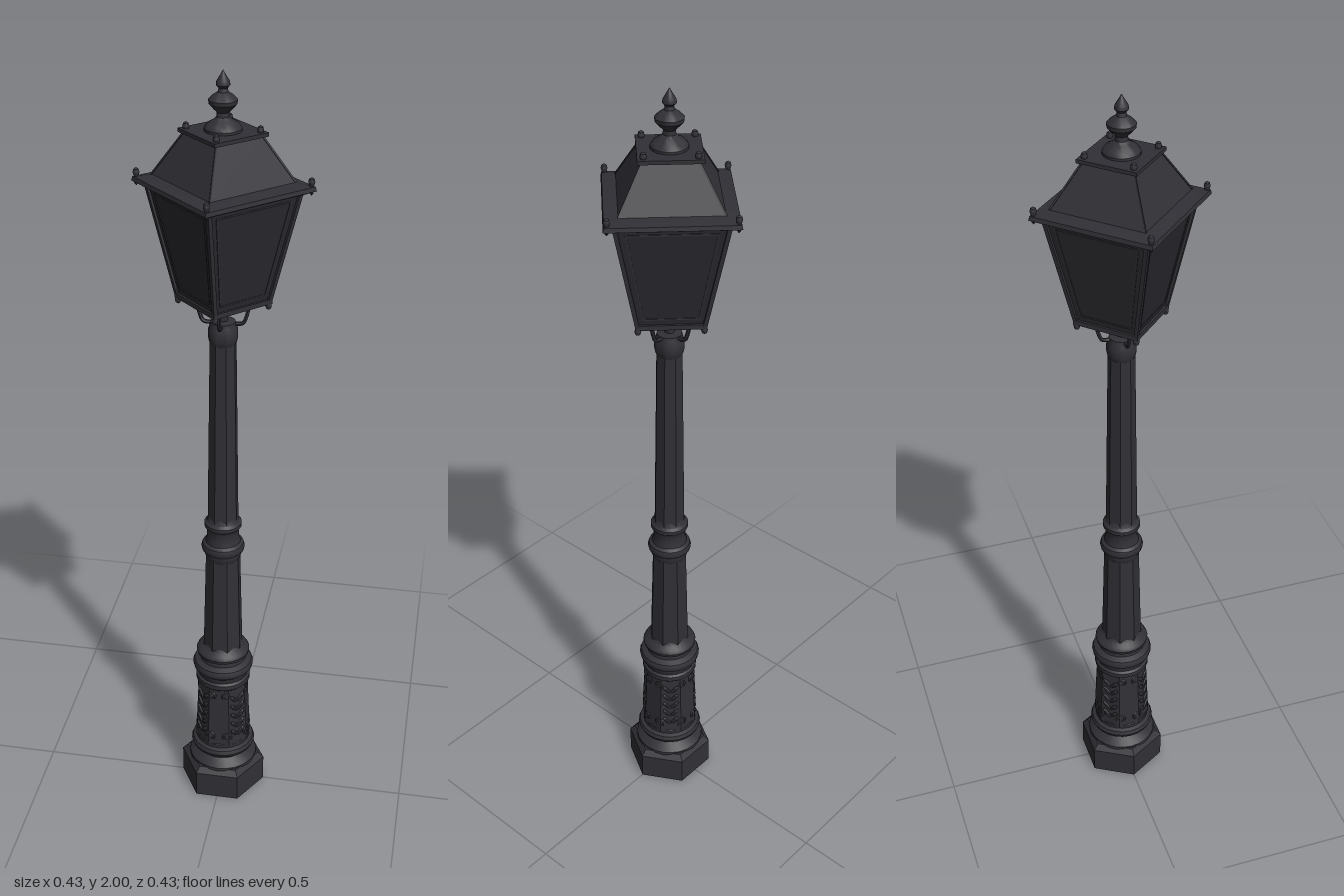
import * as THREE from 'three';
import { toCreasedNormals } from 'three/addons/utils/BufferGeometryUtils.js';

const iron = new THREE.MeshStandardMaterial({ color: 0x303036 });
iron.name = 'castIron';
const dark = new THREE.MeshStandardMaterial({ color: 0x2a2a2f });
dark.name = 'darkPane';

export function createModel() {
  const root = new THREE.Group();
  root.name = 'streetLamp';

  const add = (name, geo, mat = iron, parent = root) => {
    const m = new THREE.Mesh(toCreasedNormals(geo, 0.6), mat);
    m.name = name;
    parent.add(m);
    return m;
  };
  const lathe = (pts, seg = 24) =>
    new THREE.LatheGeometry(pts.map(([r, y]) => new THREE.Vector2(r, y)), seg);
  // Prism or frustum between two heights
  const frustum = (r0, r1, y0, y1, sides) =>
    new THREE.CylinderGeometry(r1, r0, y1 - y0, sides).translate(0, (y0 + y1) / 2, 0);
  // Straight bar from a to b
  const bar = (name, a, b, r, parent, sides = 4) => {
    const d = new THREE.Vector3().subVectors(b, a);
    const m = add(name, new THREE.CylinderGeometry(r, r, d.length(), sides), iron, parent);
    m.position.copy(a).addScaledVector(d, 0.5);
    m.quaternion.setFromUnitVectors(new THREE.Vector3(0, 1, 0), d.normalize());
  };

  // Hexagonal plinth
  add('plinth', frustum(0.115, 0.115, 0, 0.075, 6).rotateY(Math.PI / 6));
  add('plinthTop', frustum(0.115, 0.1, 0.075, 0.09, 6).rotateY(Math.PI / 6));

  // Turned mouldings
  add('footMoulding', lathe([[0.092, 0.085], [0.092, 0.095], [0.08, 0.105], [0.07, 0.115], [0.07, 0.122],
    [0.083, 0.128], [0.087, 0.138], [0.083, 0.148], [0.073, 0.152], [0.073, 0.162], [0.065, 0.17]]));
  add('pedestalCap', lathe([[0.066, 0.345], [0.073, 0.352], [0.073, 0.365], [0.067, 0.37], [0.07, 0.385],
    [0.079, 0.393], [0.081, 0.403], [0.077, 0.413], [0.062, 0.42], [0.06, 0.43], [0.069, 0.437],
    [0.071, 0.446], [0.066, 0.455], [0.053, 0.462], [0.046, 0.475]]));
  add('middleRing', lathe([[0.042, 0.735], [0.047, 0.75], [0.047, 0.758], [0.054, 0.765], [0.056, 0.774],
    [0.053, 0.784], [0.045, 0.79], [0.041, 0.805], [0.042, 0.828], [0.048, 0.836], [0.048, 0.846],
    [0.041, 0.852], [0.036, 0.87]]));
  add('neckCollar', lathe([[0.03, 1.345], [0.034, 1.355], [0.036, 1.365], [0.036, 1.385], [0.032, 1.395],
    [0.03, 1.405], [0.012, 1.408], [0.012, 1.47]]));

  // Eight-sided pedestal and shafts
  const octagon = (name, r0, r1, y0, y1) =>
    add(name, frustum(r0 * 1.06, r1 * 1.06, y0, y1, 8).rotateY(Math.PI / 8));
  octagon('pedestal', 0.072, 0.064, 0.16, 0.35);
  octagon('lowerShaft', 0.05, 0.043, 0.46, 0.745);
  octagon('upperShaft', 0.038, 0.031, 0.85, 1.36);

  // Leaf and scroll relief on the pedestal
  for (let i = 0; i < 4; i++) {
    const relief = new THREE.Group();
    relief.name = 'leafRelief';
    relief.rotation.y = Math.PI / 4 + i * Math.PI / 2;
    root.add(relief);
    for (let j = 0; j < 5; j++) {
      const y = 0.2 + j * 0.028, z = 0.07 - j * 0.0012;
      for (const s of [-1, 1]) {
        const leaf = add('leaf', new THREE.SphereGeometry(1, 8, 6), iron, relief);
        leaf.scale.set(0.006, 0.017, 0.005);
        leaf.position.set(s * 0.01, y, z);
        leaf.rotation.z = -s * 0.75;
      }
    }
    for (const s of [-1, 1]) {
      for (const [y, r] of [[0.19, 0.011], [0.325, 0.009]]) {
        const scroll = add('scroll', new THREE.TorusGeometry(r, 0.004, 6, 14), iron, relief);
        scroll.position.set(s * 0.03, y, 0.064 - (y - 0.19) * 0.05);
        scroll.rotation.y = s * 0.5;
      }
    }
  }

  const lantern = new THREE.Group();
  lantern.name = 'lantern';
  root.add(lantern);

  // Glazed body and roof, corners on the axes
  add('panes', frustum(0.108, 0.176, 1.466, 1.737, 4), dark, lantern);
  add('floorRail', frustum(0.117, 0.117, 1.458, 1.47, 4), iron, lantern);
  add('eaveUnderside', frustum(0.185, 0.213, 1.728, 1.738, 4), iron, lantern);
  add('eave', frustum(0.213, 0.21, 1.738, 1.748, 4), iron, lantern);
  add('eaveSlope', frustum(0.21, 0.165, 1.748, 1.756, 4), iron, lantern);
  add('roof', frustum(0.165, 0.088, 1.756, 1.858, 4), iron, lantern);
  add('roofCap', frustum(0.103, 0.103, 1.857, 1.866, 4), iron, lantern);

  const corner = (i, r, y) => {
    const a = i * Math.PI / 2;
    return new THREE.Vector3(Math.sin(a) * r, y, Math.cos(a) * r);
  };
  const knob = [[0.001, -0.018], [0.005, -0.012], [0.004, 0], [0.006, 0.006], [0.008, 0.013],
    [0.006, 0.02], [0, 0.024]];
  const bracket = [[0.028, 1.4], [0.048, 1.403], [0.056, 1.42], [0.064, 1.445], [0.085, 1.46], [0.108, 1.463]];

  for (let i = 0; i < 4; i++) {
    // Corner bars and pane frames
    bar('cornerBar', corner(i, 0.11, 1.466), corner(i, 0.178, 1.737), 0.007, lantern);
    const edge = (y, t) => corner(i, 0.108 + (y - 1.466) * 0.251, y)
      .lerp(corner(i + 1, 0.108 + (y - 1.466) * 0.251, y), t);
    bar('paneFrame', edge(1.485, 0.1), edge(1.715, 0.08), 0.0025, lantern);
    bar('paneFrame', edge(1.485, 0.9), edge(1.715, 0.92), 0.0025, lantern);
    bar('paneFrame', edge(1.485, 0.1), edge(1.485, 0.9), 0.0025, lantern);
    bar('paneFrame', edge(1.715, 0.08), edge(1.715, 0.92), 0.0025, lantern);
    bar('roofRib', corner(i, 0.165, 1.756), corner(i, 0.088, 1.858), 0.003, lantern);

    // Small knobs on the eave, cap and floor
    add('eaveKnob', lathe(knob, 12), iron, lantern).position.copy(corner(i, 0.201, 1.746));
    add('capKnob', lathe(knob, 12), iron, lantern).position.copy(corner(i, 0.084, 1.858));
    const foot = add('floorKnob', lathe(knob, 12), iron, lantern);
    foot.position.copy(corner(i, 0.108, 1.466));
    foot.rotation.x = Math.PI;

    // Curved bracket under the lantern
    const path = new THREE.CatmullRomCurve3(bracket.map(([r, y]) => corner(i, r, y)));
    add('bracket', new THREE.TubeGeometry(path, 20, 0.005, 6), iron, lantern);
  }

  // Top finial
  add('finial', lathe([[0.043, 1.864], [0.043, 1.872], [0.036, 1.882], [0.022, 1.89], [0.015, 1.897],
    [0.014, 1.907], [0.022, 1.915], [0.032, 1.926], [0.033, 1.935], [0.024, 1.944], [0.012, 1.952],
    [0.01, 1.96], [0.016, 1.967], [0.015, 1.975], [0.007, 1.988], [0, 2]]), iron, lantern);

  return root;
}
